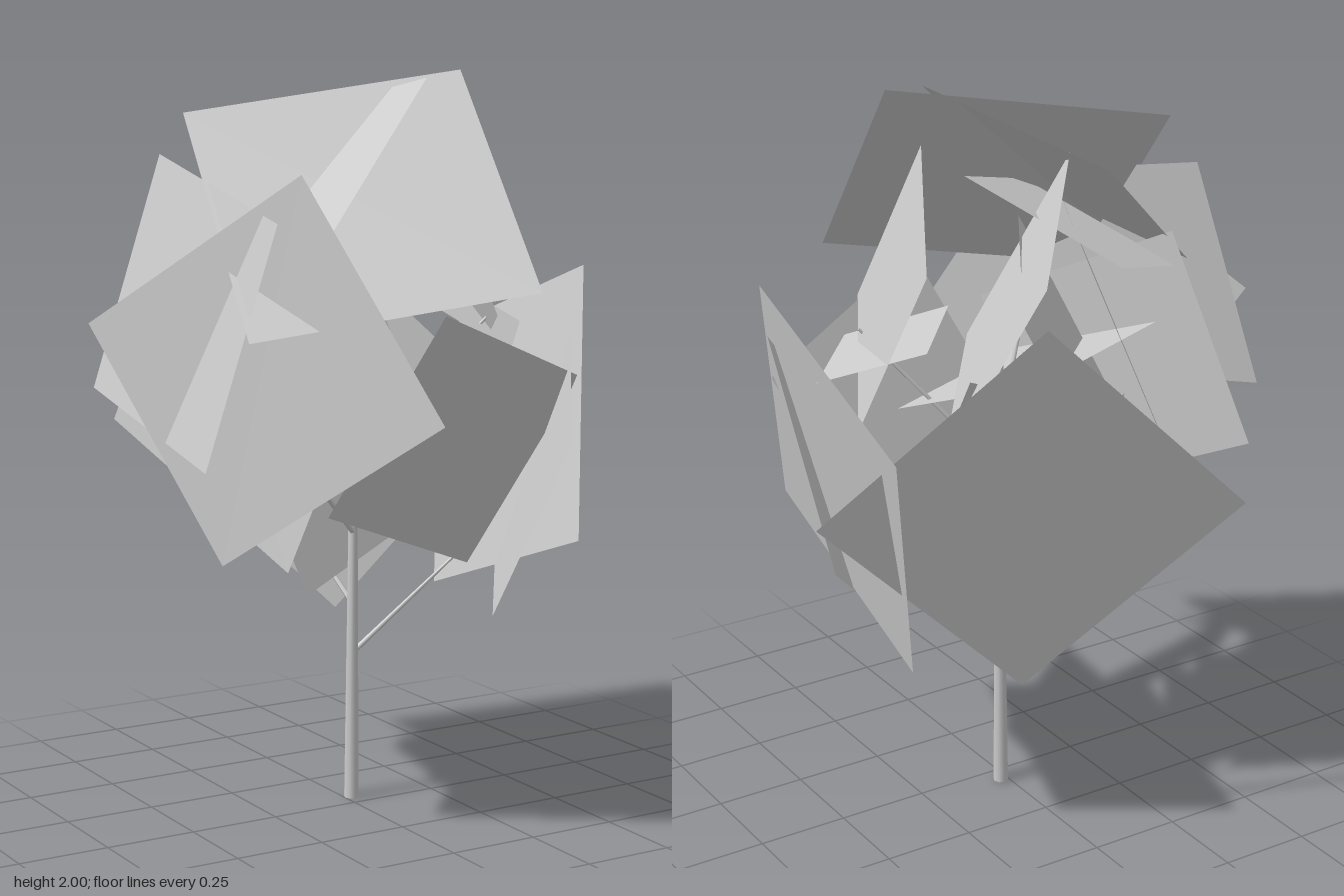
import * as THREE from 'three';

const V = (p) => new THREE.Vector3(...p);

export function createModel() {
  const tree = new THREE.Group();
  const bark = new THREE.MeshStandardMaterial({ color: 0xcccccc });
  const leaf = new THREE.MeshStandardMaterial({ color: 0xcccccc, side: THREE.DoubleSide, flatShading: true });

  // Tapered limb between two points
  function limb(name, from, to, r0, r1, sides = 6) {
    const a = V(from), d = V(to).sub(a);
    const geo = new THREE.CylinderGeometry(r1, r0, d.length(), sides);
    geo.translate(0, d.length() / 2, 0);
    const mesh = new THREE.Mesh(geo, bark);
    mesh.position.copy(a);
    mesh.quaternion.setFromUnitVectors(new THREE.Vector3(0, 1, 0), d.normalize());
    mesh.name = name;
    tree.add(mesh);
  }

  // Flat foliage card from three successive corners; the fourth follows
  function card(name, a, b, c) {
    const A = V(a), B = V(b), C = V(c), D = A.clone().add(C).sub(B);
    const geo = new THREE.BufferGeometry().setFromPoints([A, B, C, D]);
    geo.setIndex([0, 1, 2, 0, 2, 3]);
    geo.computeVertexNormals();
    const mesh = new THREE.Mesh(geo, leaf);
    mesh.name = name;
    tree.add(mesh);
  }

  // Trunk and its upper part inside the crown
  limb('trunk', [0.02, 0, -0.05], [0.028, 0.78, -0.055], 0.021, 0.013, 8);
  limb('upperTrunk', [0.028, 0.78, -0.055], [0.0, 1.4, -0.02], 0.013, 0.006);

  // Branches
  const branches = [
    [[0.035, 0.42, -0.05], [0.32, 0.68, 0.03]],
    [[0.028, 0.55, -0.06], [0.04, 0.7, -0.34]],
    [[0.025, 0.75, -0.05], [-0.32, 1.1, 0.12]],
    [[0.025, 0.85, -0.05], [-0.2, 1.2, -0.3]],
    [[0.02, 0.95, -0.05], [0.34, 1.35, 0.14]],
    [[0.01, 1.1, -0.04], [-0.2, 1.55, 0.1]],
  ];
  branches.forEach(([a, b]) => limb('branch', a, b, 0.008, 0.004, 5));

  // Outer crown of large square cards
  card('topFoliage', [-0.41, 1.89, -0.19], [0.3, 2.0, 0.05], [0.21, 1.45, 0.57]);
  card('frontRightFoliage', [-0.35, 1.75, 0.33], [-0.145, 1.15, 0.67], [-0.505, 0.757, 0.19]);
  card('frontLeftFoliage', [0.6, 1.375, 0.155], [0.627, 0.857, -0.23], [0.305, 0.535, 0.22]);
  card('leftFoliage', [0.57, 1.48, 0.25], [0.59, 1.23, -0.48], [0.415, 0.53, -0.245]);
  card('frontFoliage', [-0.04, 1.4, 0.51], [-0.27, 0.88, 0.32], [0.28, 0.67, 0.13]);
  card('backFoliage', [0.23, 1.54, -0.59], [0.7, 1.01, -0.27], [0.145, 0.465, -0.35]);
  card('rightFoliage', [-0.61, 1.16, -0.34], [-0.58, 1.01, 0.245], [-0.41, 1.63, 0.315]);
  card('crossingTopFoliage', [0.155, 1.98, 0.11], [-0.29, 1.61, 0.38], [-0.5, 1.48, -0.16]);

  // Cards filling the sides and the inside of the crown
  card('lowerRightFoliage', [-0.32, 0.72, 0.2], [-0.495, 1.05, -0.46], [-0.38, 1.6, -0.25]);
  card('lowerFoliage', [-0.27, 1.1, -0.2], [-0.09, 0.575, -0.1], [0.45, 0.8, -0.2]);
  card('backRightFoliage', [0.0, 1.6, -0.44], [-0.3, 0.89, -0.5], [-0.52, 0.95, -0.02]);
  card('innerBackFoliage', [0.2, 1.5, -0.435], [-0.2, 0.8, -0.4], [-0.43, 0.95, -0.02]);
  card('upperLeftFoliage', [0.15, 1.82, 0.13], [0.44, 1.65, -0.38], [0.52, 1.2, -0.17]);
  card('upperBackFoliage', [-0.07, 1.85, -0.23], [0.215, 1.63, -0.56], [0.36, 1.1, -0.3]);
  card('upperRightFoliage', [-0.4, 1.5, -0.245], [-0.09, 1.6, -0.44], [0.1, 1.76, 0]);
  card('innerLeftFoliage', [0.15, 1.42, 0], [0.43, 1.45, -0.36], [0.565, 1.3, -0.04]);
  card('innerFoliage', [-0.2, 1.17, 0.22], [0.25, 1.12, 0.1], [0.1, 1.3, -0.35]);

  return tree;
}
